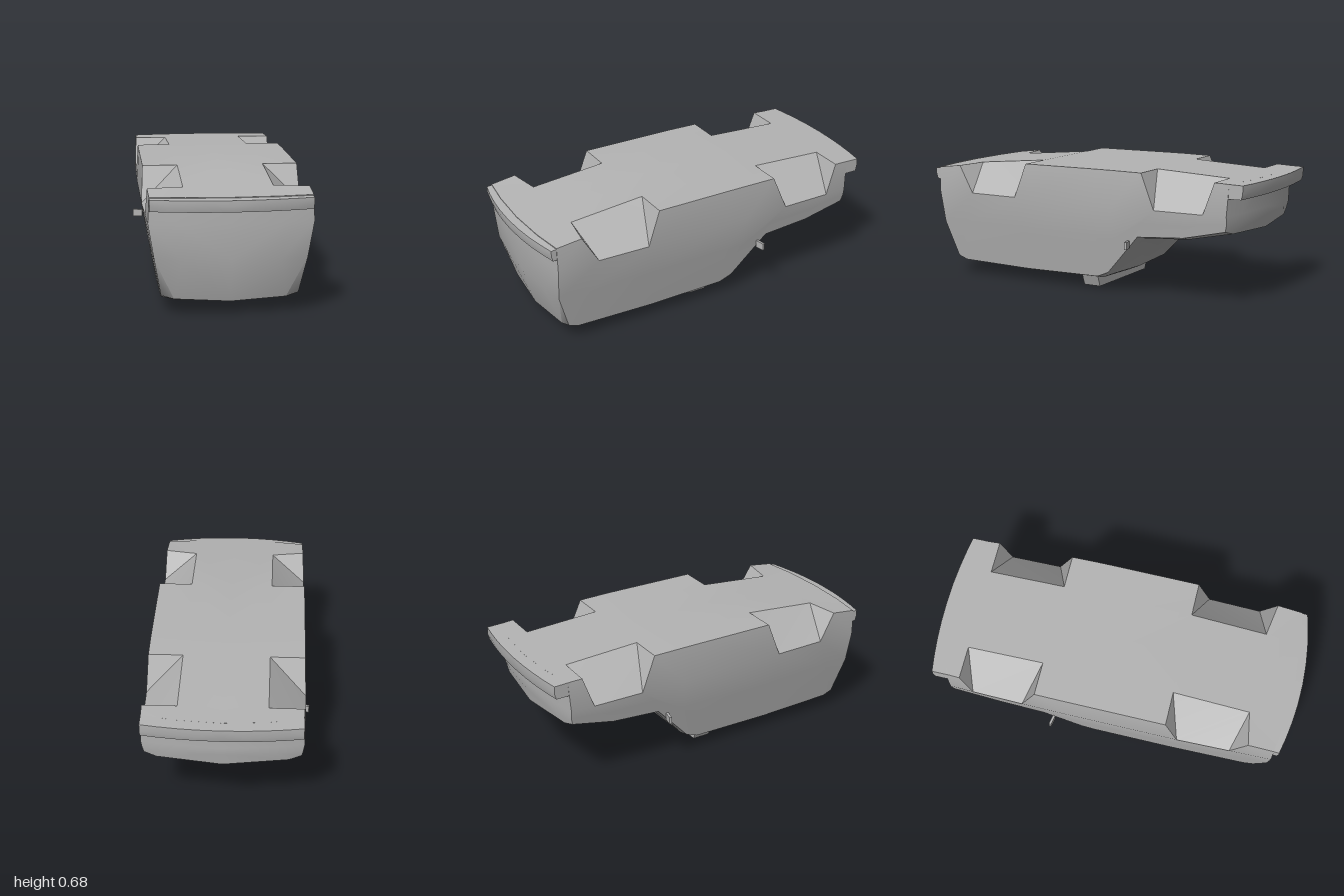
import * as THREE from 'three';
import { toCreasedNormals } from 'three/addons/utils/BufferGeometryUtils.js';

const lerp = THREE.MathUtils.lerp;

// Collects triangles and quads, optionally mirrored across x
class Faces {
  constructor() { this.pos = []; }
  tri(a, b, c, mirror = true) {
    this.pos.push(...a, ...b, ...c);
    if (mirror) for (const p of [a, c, b]) this.pos.push(-p[0], p[1], p[2]);
  }
  quad(a, b, c, d, mirror = true) {
    this.tri(a, b, c, mirror);
    this.tri(a, c, d, mirror);
  }
  build(crease) {
    const g = new THREE.BufferGeometry();
    g.setAttribute('position', new THREE.Float32BufferAttribute(this.pos, 3));
    g.computeVertexNormals();
    return toCreasedNormals(g, crease);
  }
}

// Half width of the shell at a given height
const WIDTH = [[0, 0.34], [0.08, 0.355], [0.3, 0.395], [0.485, 0.426], [0.68, 0.416]];
function halfWidth(y) {
  for (let i = 1; i < WIDTH.length; i++) {
    const [y0, w0] = WIDTH[i - 1], [y1, w1] = WIDTH[i];
    if (y <= y1) return lerp(w0, w1, (y - y0) / (y1 - y0));
  }
  return 0.416;
}

// Half cross-sections: z of low, middle, belt, top and inner rows; low y, top y, width scale, end bulge
const STATIONS = [
  [0.845, 0.91, 0.92, 0.92, 0.92, 0.07, 0.618, 0.975, 0.035],
  [0.79, 0.76, 0.69, 0.78, 0.75, 0.05, 0.636, 0.985, 0],
  [0.36, 0.36, 0.40, 0.33, 0.33, 0.043, 0.675, 1, 0],
  [-0.09, -0.1, -0.1, -0.1, -0.1, 0.05, 0.677, 1, 0],
  [-0.16, -0.2, -0.22, -0.22, -0.22, 0.08, 0.677, 1, 0],
  [-0.36, -0.38, -0.47, -0.39, -0.39, 0.3, 0.675, 0.995, 0],
  [-0.63, -0.66, -0.75, -0.81, -0.81, 0.32, 0.655, 0.985, 0],
  [-0.87, -0.88, -0.88, -0.89, -0.89, 0.375, 0.652, 0.975, -0.05],
];

function section([zLow, zMid, zBelt, zTop, zIn, low, top, w, bulge]) {
  const shoulder = low + 0.03;
  const mid = Math.max(0.3, (shoulder + 0.485) / 2);
  const hw = (y) => halfWidth(y) * w;
  const pt = (x, y, z) => [x, y, z + bulge * (1 - (x / hw(y)) ** 2)];
  const rows = [
    pt(0, low, zLow), pt(hw(shoulder) - 0.065, low + 0.012, zLow), pt(hw(shoulder), shoulder, zLow),
    pt(hw(mid), mid, zMid), pt(hw(0.485), 0.485, zBelt),
    pt(hw(top), top, zTop), pt(0.23, top, zIn), pt(0, top, zIn),
  ];
  // Rows across the end face, from centre to edge
  const across = (y, z) => [0, 0.65, 1].map((f) => pt(f * hw(y), y, z));
  const end = [rows.slice(0, 3), across(mid, zMid), across(0.485, zBelt), [rows[7], rows[6], rows[5]]];
  return { rows, end };
}

function buildShell() {
  const shell = new Faces(), arches = new Faces();
  const secs = STATIONS.map(section);
  const notched = [1, 5];
  for (let s = 0; s < secs.length - 1; s++) {
    const A = secs[s].rows, B = secs[s + 1].rows;
    for (let r = 0; r < 7; r++) {
      if (notched.includes(s) && (r === 4 || r === 5)) continue;
      shell.quad(A[r], B[r], B[r + 1], A[r + 1]);
    }
    // Wheel notch: sloping face and two end walls
    if (notched.includes(s)) {
      arches.quad(A[6], A[4], B[4], B[6]);
      arches.tri(A[6], A[5], A[4]);
      arches.tri(B[6], B[4], B[5]);
    }
  }
  // Closed ends
  const caps = [[secs[0].end, false], [secs[secs.length - 1].end, true]];
  for (const [end, flip] of caps) {
    for (let r = 0; r < 3; r++) for (let c = 0; c < 2; c++) {
      const q = [end[r][c], end[r][c + 1], end[r + 1][c + 1], end[r + 1][c]];
      shell.quad(...(flip ? q.reverse() : q));
    }
  }
  return [shell.build(0.85), arches.build(0.1)];
}

// Curved bumper lip; dir is +1 at the front and -1 at the back
function buildBumper(dir, bow, yLow, yTop, yBack, depth) {
  const f = new Faces();
  const xs = [0, 0.12, 0.22, 0.32, 0.408];
  const loops = xs.map((x) => {
    const z = 1 - bow * (x / 0.408) ** 2;
    return [[z - depth, yLow], [z - 0.008, yLow], [z, yLow + 0.03], [z, yTop], [z - depth, yBack]]
      .map(([pz, y]) => [x, y, pz * dir]);
  });
  const add = (q) => f.quad(...(dir < 0 ? q.reverse() : q));
  for (let i = 0; i < xs.length - 1; i++) {
    for (let k = 0; k < 4; k++) add([loops[i][k], loops[i + 1][k], loops[i + 1][k + 1], loops[i][k + 1]]);
  }
  const e = loops[xs.length - 1];
  add([e[0], e[4], e[3], e[1]]);
  const t = [e[1], e[3], e[2]];
  f.tri(...(dir < 0 ? t.reverse() : t));
  return f.build(0.7);
}

export function createModel() {
  const group = new THREE.Group();
  group.name = 'carShell';
  const grey = new THREE.MeshStandardMaterial({ color: 0xb4b4b4 });
  grey.name = 'plainGrey';
  const add = (name, geometry) => {
    const mesh = new THREE.Mesh(geometry, grey);
    mesh.name = name;
    group.add(mesh);
    return mesh;
  };

  const [shell, arches] = buildShell();
  add('bodyShell', shell);
  add('wheelNotches', arches);
  add('frontBumper', buildBumper(1, 0.05, 0.55, 0.61, 0.618, 0.08));
  add('backBumper', buildBumper(-1, 0.035, 0.577, 0.65, 0.653, 0.11));

  // Tapered bar under the roof
  const bar = new THREE.Shape([[-0.26, 0], [0.26, 0], [0.285, 0.065], [-0.285, 0.065]]
    .map(([x, y]) => new THREE.Vector2(x, y)));
  add('roofBar', new THREE.ExtrudeGeometry(bar, { depth: 0.1, bevelEnabled: false }))
    .position.z = -0.05;

  // Small side mirrors
  for (const side of [-1, 1]) {
    const mirror = add(side > 0 ? 'leftMirror' : 'rightMirror', new THREE.BoxGeometry(0.054, 0.04, 0.014));
    mirror.position.set(side * 0.422, 0.285, -0.31);
    mirror.rotation.y = side * 0.2;
  }
  return group;
}
